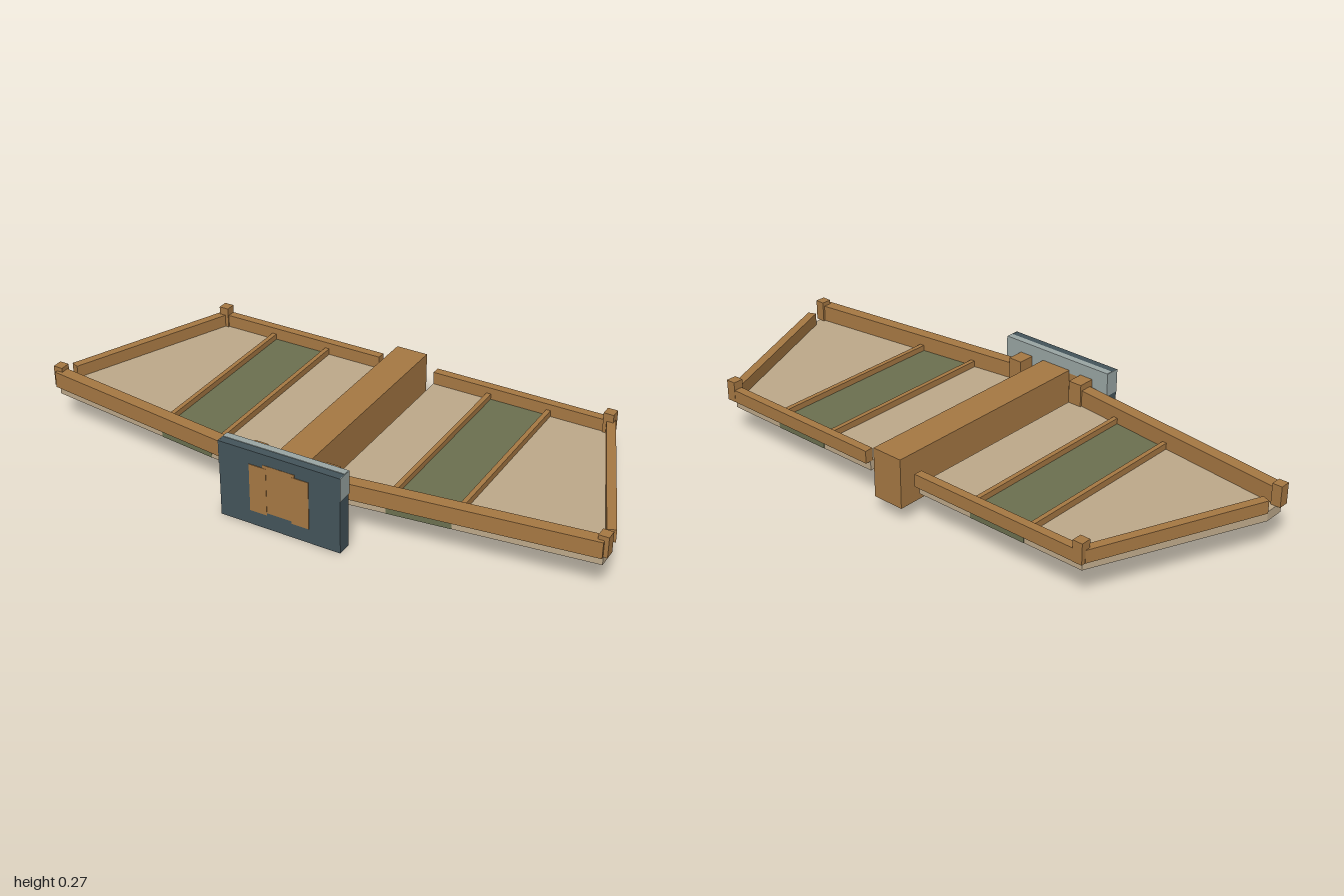
import * as THREE from 'three';

const mat = (name, color) => {
  const m = new THREE.MeshStandardMaterial({ color });
  m.name = name;
  return m;
};

export function createModel() {
  const wood = mat('wood', 0xa67843);
  const tan = mat('tan cloth', 0xbda98a);
  const green = mat('green cloth', 0x6b7050);
  const slate = mat('slate', 0x44545a);
  const steel = mat('pale steel', 0x9aa6a4);

  const model = new THREE.Group();
  model.name = 'wingFrame';

  // Box given by its extents
  const box = (parent, name, m, [x0, x1], [y0, y1], [z0, z1]) => {
    const mesh = new THREE.Mesh(new THREE.BoxGeometry(Math.abs(x1 - x0), y1 - y0, z1 - z0), m);
    mesh.position.set((x0 + x1) / 2, (y0 + y1) / 2, (z0 + z1) / 2);
    mesh.name = name;
    parent.add(mesh);
  };

  // Flat slab: outline of [x, z] points between two heights
  const slab = (parent, name, m, s, points, y0, y1) => {
    const shape = new THREE.Shape(points.map(([x, z]) => new THREE.Vector2(x * s, z)));
    const geo = new THREE.ExtrudeGeometry(shape, { depth: y1 - y0, bevelEnabled: false });
    geo.rotateX(Math.PI / 2).translate(0, y1, 0);
    const mesh = new THREE.Mesh(geo, m);
    mesh.name = name;
    parent.add(mesh);
  };

  // Straight bar from a to b in plan
  const bar = (parent, name, s, [ax, az], [bx, bz], width, y0, y1) => {
    const len = Math.hypot(bx - ax, bz - az);
    const nx = (-(bz - az) / len) * width / 2, nz = ((bx - ax) / len) * width / 2;
    slab(parent, name, wood, s,
      [[ax + nx, az + nz], [bx + nx, bz + nz], [bx - nx, bz - nz], [ax - nx, az - nz]], y0, y1);
  };

  // Central beam
  box(model, 'centralBeam', wood, [-0.057, 0.057], [0.06, 0.233], [-0.432, 0.431]);

  // Front plate with pale upper edges and back
  const plate = new THREE.Group();
  plate.name = 'frontPlate';
  model.add(plate);
  box(plate, 'plateBody', slate, [-0.216, 0.216], [0, 0.271], [0.38, 0.43]);
  box(plate, 'plateBackFacing', steel, [-0.216, 0.216], [0.19, 0.271], [0.378, 0.38]);
  box(plate, 'plateTopFacing', steel, [-0.216, 0.216], [0.271, 0.273], [0.378, 0.402]);

  const frontEdge = (x) => 0.352 - (x - 0.105) * 0.1216;

  for (const s of [1, -1]) {
    const wing = new THREE.Group();
    wing.name = s > 0 ? 'leftWing' : 'rightWing';
    model.add(wing);
    const wbox = (name, m, [x0, x1], y, z) => box(wing, name, m, [x0 * s, x1 * s], y, z);

    // Plate side facing and tenon showing through the plate
    wbox('plateSideFacing', steel, [0.216, 0.218], [0.19, 0.272], [0.378, 0.43]);
    wbox('tenon', wood, [0.045, 0.106], [0.052, 0.222], [0.378, 0.432]);

    // Cloth panel with a green band
    slab(wing, 'clothPanel', tan, s,
      [[0.105, -0.4], [0.74, -0.4], [0.985, 0.173], [0.985, 0.245], [0.105, 0.352]], 0.12, 0.153);
    slab(wing, 'greenBand', green, s,
      [[0.315, -0.402], [0.525, -0.402], [0.525, frontEdge(0.525) + 0.002],
        [0.315, frontEdge(0.315) + 0.002]], 0.121, 0.155);

    // Spars
    bar(wing, 'frontSpar', s, [0.125, 0.35], [0.985, 0.241], 0.042, 0.153, 0.21);
    bar(wing, 'backSpar', s, [0.105, -0.405], [0.74, -0.405], 0.03, 0.153, 0.197);
    bar(wing, 'tipSpar', s, [0.742, -0.4], [0.977, 0.17], 0.03, 0.153, 0.197);

    // Ribs beside the green band
    for (const x of [0.312, 0.528]) {
      wbox('rib', wood, [x - 0.008, x + 0.008], [0.153, 0.175], [-0.395, frontEdge(x) - 0.01]);
    }

    // Corner posts
    wbox('rootPost', wood, [0.105, 0.155], [0.042, 0.232], [0.318, 0.378]);
    wbox('tipPost', wood, [0.966, 1], [0.153, 0.225], [0.215, 0.251]);
    wbox('backPost', wood, [0.72, 0.755], [0.153, 0.225], [-0.421, -0.385]);
  }

  return model;
}
